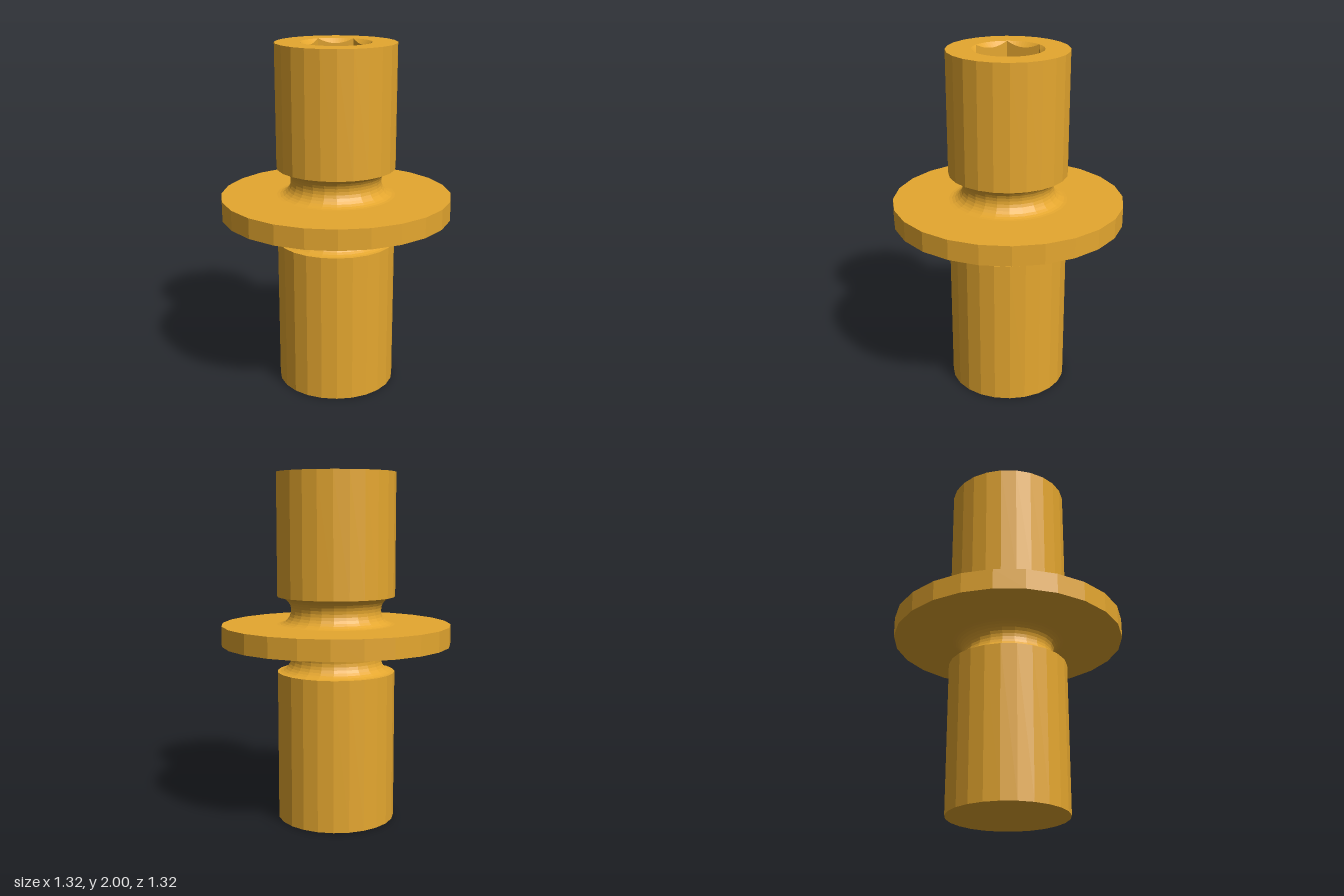
import * as THREE from 'three';

const SIDES = 24;
const TWIST = THREE.MathUtils.degToRad(1.5);
const R = 0.34, COLLAR_R = 0.66, GROOVE = 0.08, SOCKET_R = 0.2, SOCKET_DEPTH = 0.3;

const material = new THREE.MeshStandardMaterial({ color: 0xe5a72f, flatShading: true });

function addPart(group, name, geometry) {
  const mesh = new THREE.Mesh(geometry, material);
  mesh.name = name;
  group.add(mesh);
}

// Faceted turned section, profile given as [radius, height] from bottom to top
function turned(profile) {
  return new THREE.LatheGeometry(profile.map(([r, y]) => new THREE.Vector2(r, y)), SIDES, -TWIST);
}

// Half-round neck cut into the shaft
function groove(yCentre) {
  const profile = [];
  for (let i = 0; i <= 14; i++) {
    const t = (i / 14) * Math.PI;
    profile.push([R - GROOVE * Math.sin(t), yCentre - GROOVE * Math.cos(t)]);
  }
  return turned(profile);
}

// Distance from the centre to the edge of a regular polygon at angle a
function polygonRadius(radius, n, a) {
  const step = (2 * Math.PI) / n;
  const local = ((a % step) + step) % step;
  return (radius * Math.cos(step / 2)) / Math.cos(local - step / 2);
}

// Top face with a chamfered hexagonal recess, lofted through rings from rim to floor
function hexSocket() {
  const COUNT = 72, START = TWIST + Math.PI / 12;
  const hex = a => polygonRadius(SOCKET_R, 6, a);
  const rings = [
    a => [polygonRadius(R, SIDES, a), 2],
    () => [SOCKET_R, 2],
    a => [hex(a), 2 - (SOCKET_R - hex(a))],
    a => [hex(a), 2 - SOCKET_DEPTH],
    () => [0, 2 - SOCKET_DEPTH],
  ];
  const positions = [], index = [];
  rings.forEach((ring, j) => {
    for (let i = 0; i < COUNT; i++) {
      const a = (i / COUNT) * 2 * Math.PI;
      const [r, y] = ring(a);
      positions.push(r * Math.cos(a + START), y, r * Math.sin(a + START));
      if (j === rings.length - 1) continue;
      const p = j * COUNT + i, q = j * COUNT + ((i + 1) % COUNT);
      index.push(p, p + COUNT, q);
      if (j < rings.length - 2) index.push(q, p + COUNT, q + COUNT);
    }
  });
  const geometry = new THREE.BufferGeometry();
  geometry.setAttribute('position', new THREE.Float32BufferAttribute(positions, 3));
  geometry.setIndex(index);
  geometry.computeVertexNormals();
  return geometry;
}

export function createModel() {
  const group = new THREE.Group();
  group.name = 'collaredPin';

  // Heights up the axis
  const lowerTop = 0.865, collarBottom = 1.025, collarTop = 1.14, upperBottom = 1.3;

  addPart(group, 'lowerShaft', turned([[0, 0], [R, 0], [R, lowerTop]]));
  addPart(group, 'lowerGroove', groove((lowerTop + collarBottom) / 2));
  addPart(group, 'collar', turned([
    [R, collarBottom], [COLLAR_R, collarBottom], [COLLAR_R, collarTop], [R, collarTop],
  ]));
  addPart(group, 'upperGroove', groove((collarTop + upperBottom) / 2));
  addPart(group, 'upperShaft', turned([[R, upperBottom], [R, 2]]));
  addPart(group, 'hexSocket', hexSocket());
  return group;
}
